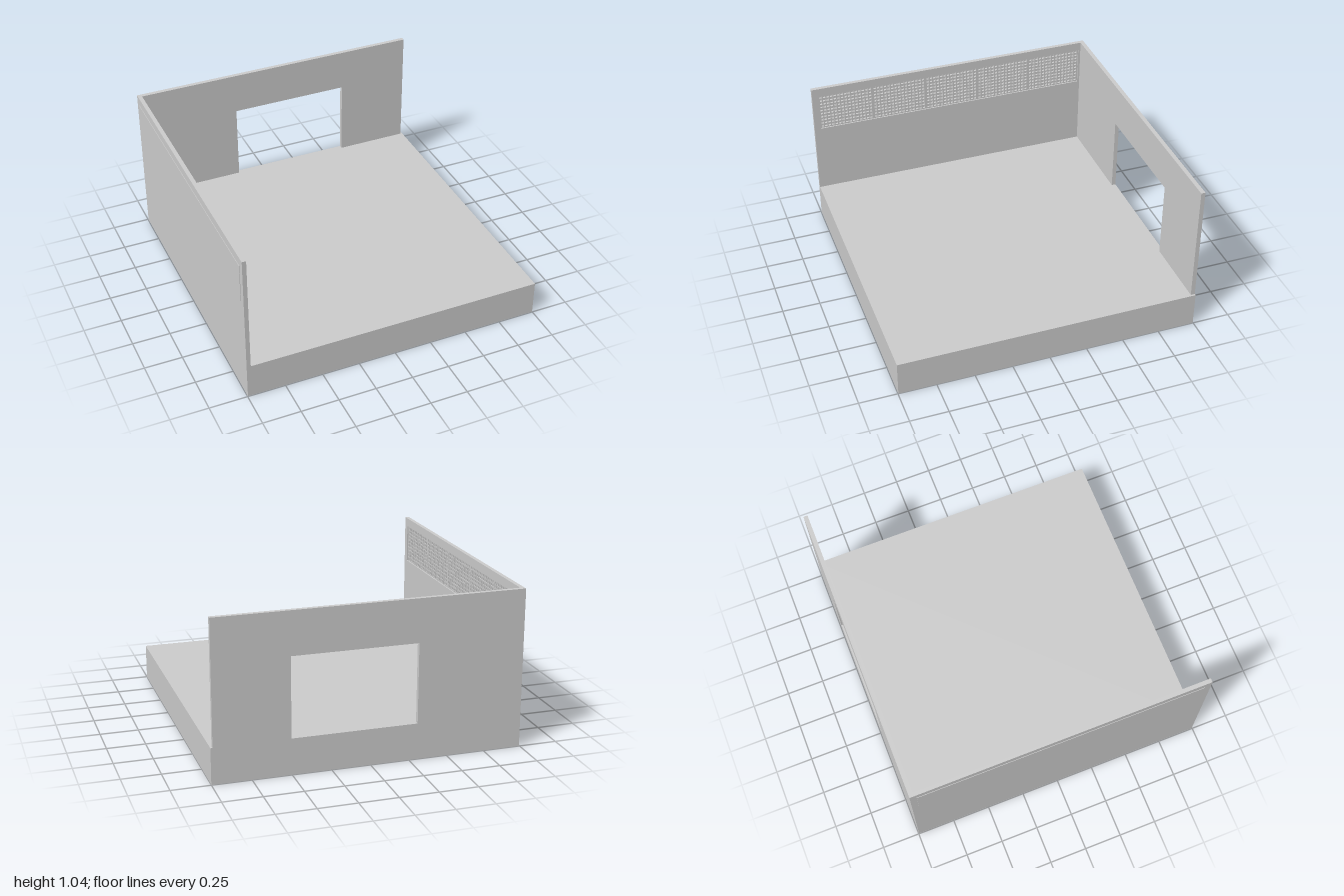
import * as THREE from 'three';

const BASE_TOP = 0.235, WALL_TOP = 1.037, EDGE = 0.997;
const material = new THREE.MeshStandardMaterial({ color: 0xcccccc, flatShading: true });

// Box given by its minimum and maximum corners
function boxBetween(name, [x0, y0, z0], [x1, y1, z1]) {
  const mesh = new THREE.Mesh(new THREE.BoxGeometry(x1 - x0, y1 - y0, z1 - z0), material);
  mesh.position.set((x0 + x1) / 2, (y0 + y1) / 2, (z0 + z1) / 2);
  mesh.name = name;
  return mesh;
}

function outline(points, Type = THREE.Shape) {
  return new Type(points.map(([x, y]) => new THREE.Vector2(x, y)));
}

export function createModel() {
  const model = new THREE.Group();
  model.name = 'openRoom';

  // Thick floor slab
  model.add(boxBetween('floorSlab', [-EDGE, 0, -EDGE], [1, BASE_TOP, EDGE]));

  // Back wall with a doorway notch reaching the floor
  const backShape = outline([
    [-EDGE, BASE_TOP], [-0.305, BASE_TOP], [-0.305, 0.755], [0.503, 0.755],
    [0.503, BASE_TOP], [0.987, BASE_TOP], [0.987, WALL_TOP], [-EDGE, WALL_TOP],
  ]);
  const backWall = new THREE.Mesh(
    new THREE.ExtrudeGeometry(backShape, { depth: 0.028, bevelEnabled: false }), material);
  backWall.position.z = -EDGE;
  backWall.name = 'backWall';
  model.add(backWall);

  // Side wall with a long high opening, drawn in (-z, y) and turned to face +x
  const y0 = 0.72, y1 = 0.98, half = 0.954;
  const sideShape = outline([
    [-EDGE, BASE_TOP], [0.969, BASE_TOP], [0.969, WALL_TOP], [-EDGE, WALL_TOP],
  ]);
  sideShape.holes.push(outline([[-half, y0], [-half, y1], [half, y1], [half, y0]], THREE.Path));
  const sideWall = new THREE.Mesh(
    new THREE.ExtrudeGeometry(sideShape, { depth: 0.027, bevelEnabled: false }), material);
  sideWall.rotation.y = Math.PI / 2;
  sideWall.position.x = -EDGE;
  sideWall.name = 'sideWall';
  model.add(sideWall);

  // Backing pane just proud of the outer wall face
  model.add(boxBetween('ventPane', [-1, y0, -half], [-0.994, y1, half]));

  // Five lattice panels in the opening
  const grille = new THREE.Group();
  grille.name = 'ventGrille';
  const panels = 5, columns = 15, rows = 10, bar = 0.004;
  const width = 2 * half / panels;
  for (let p = 0; p < panels; p++) {
    const start = -half + p * width;
    for (let c = 0; c <= columns; c++) {
      const t = c === 0 || c === columns ? bar * 1.2 : bar;
      const z = THREE.MathUtils.lerp(start + t, start + width - t, c / columns);
      grille.add(boxBetween('verticalBar', [-0.994, y0, z - t], [-0.978, y1, z + t]));
    }
  }
  for (let r = 0; r <= rows; r++) {
    const y = THREE.MathUtils.lerp(y0 + bar, y1 - bar, r / rows);
    grille.add(boxBetween('horizontalBar', [-0.994, y - bar, -half], [-0.979, y + bar, half]));
  }
  model.add(grille);

  return model;
}
